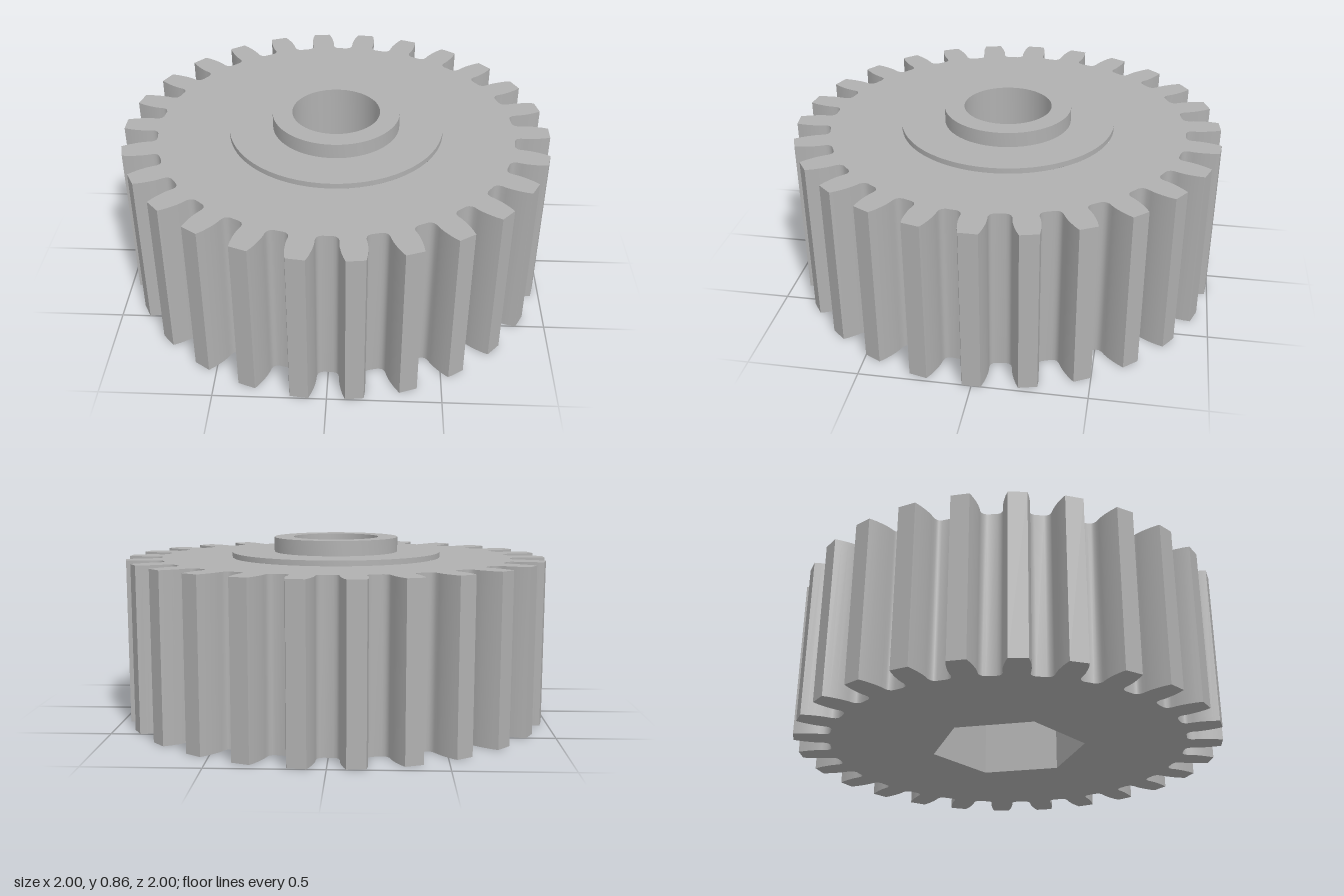
import * as THREE from 'three';
import { toCreasedNormals } from 'three/addons/utils/BufferGeometryUtils.js';

const TEETH = 26;
const GEAR_TOP = 0.765;
const SOCKET_TOP = 0.5;
const SOCKET_R = 0.365;
const FLANGE_R = 0.5;
const BORE_R = 0.205;

// One flank, from tip to root: [distance from axis, half thickness]
const FLANK = [
  [1.0, 0.041], [0.97, 0.049], [0.94, 0.054], [0.91, 0.057], [0.885, 0.057],
  [0.862, 0.055], [0.848, 0.058], [0.838, 0.066], [0.832, 0.079],
];

// Toothed outline, anticlockwise seen from above
function gearOutline() {
  const origin = new THREE.Vector2();
  const tooth = [
    ...[...FLANK].reverse().map(([r, h]) => [r, -h]),
    ...FLANK,
  ];
  const points = [];
  for (let i = 0; i < TEETH; i++) {
    const angle = (i / TEETH) * Math.PI * 2;
    for (const [x, y] of tooth) {
      points.push(new THREE.Vector2(x, y).rotateAround(origin, angle));
    }
  }
  return points;
}

// Hexagon with corners on the z axis
function hexOutline() {
  return Array.from({ length: 6 }, (_, i) => {
    const a = Math.PI / 6 + (i * Math.PI) / 3;
    return new THREE.Vector2(SOCKET_R * Math.cos(a), SOCKET_R * Math.sin(a));
  });
}

function circlePath(radius) {
  return new THREE.Path().absarc(0, 0, radius, 0, Math.PI * 2, true);
}

// Vertical wall along a closed outline, facing outward for anticlockwise points
function wall(points, y0, y1) {
  const positions = [];
  points.forEach((a, i) => {
    const b = points[(i + 1) % points.length];
    positions.push(a.x, y0, -a.y, b.x, y0, -b.y, b.x, y1, -b.y);
    positions.push(a.x, y0, -a.y, b.x, y1, -b.y, a.x, y1, -a.y);
  });
  const geometry = new THREE.BufferGeometry();
  geometry.setAttribute('position', new THREE.Float32BufferAttribute(positions, 3));
  return toCreasedNormals(geometry, 0.6);
}

// Horizontal face with a hole, facing up or down
function plate(points, hole, y, up) {
  const shape = new THREE.Shape(points);
  shape.holes.push(hole);
  return new THREE.ShapeGeometry(shape, 64)
    .rotateX(up ? -Math.PI / 2 : Math.PI / 2)
    .translate(0, y, 0);
}

export function createModel() {
  const group = new THREE.Group();
  const grey = new THREE.MeshStandardMaterial({ color: 0xb0b0b0 });
  grey.name = 'grey';

  const add = (name, geometry) => {
    const mesh = new THREE.Mesh(geometry, grey);
    mesh.name = name;
    group.add(mesh);
  };

  const outline = gearOutline();
  const hex = hexOutline();

  // Toothed body
  add('gearTeeth', wall(outline, 0, GEAR_TOP));
  add('gearTopFace', plate(outline, circlePath(FLANGE_R), GEAR_TOP, true));
  add('gearBottomFace', plate(outline, new THREE.Path(hex), 0, false));

  // Hexagonal socket in the underside
  add('socketWalls', wall([...hex].reverse(), 0, SOCKET_TOP));
  add('socketCeiling', plate(hex, circlePath(BORE_R), SOCKET_TOP, false));

  // Raised flange, hub collar and round bore in one turned profile
  const profile = [
    [FLANGE_R, GEAR_TOP], [FLANGE_R, 0.79], [0.297, 0.79],
    [0.297, 0.86], [BORE_R, 0.86], [BORE_R, SOCKET_TOP],
  ].map(([r, y]) => new THREE.Vector2(r, y));
  add('hubAndBore', toCreasedNormals(new THREE.LatheGeometry(profile, 64), 0.6));

  return group;
}
